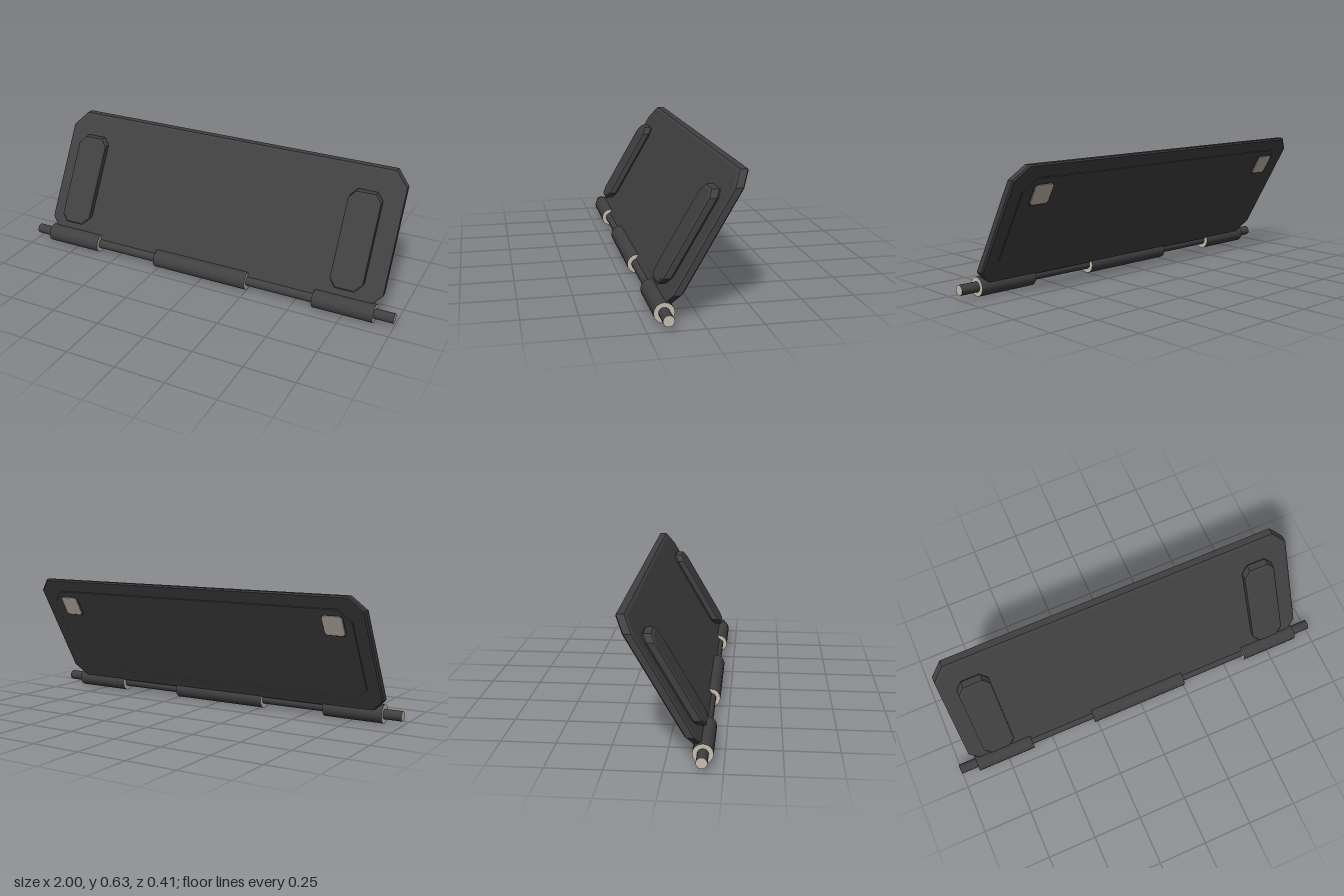
import * as THREE from 'three';

const AXIS_Y = 0.046, AXIS_Z = 0.16, SLOPE = Math.tan(Math.PI / 6);

// Chamfered rectangle, counter-clockwise seen from the front
function outline(cx, hw, y0, y1, c, inset) {
  const l = cx - hw + inset, r = cx + hw - inset, b = y0 + inset, t = y1 - inset;
  const k = Math.max(c - inset * 0.59, 0.002);
  return [[l + k, b], [r - k, b], [r, b + k], [r, t - k], [r - k, t], [l + k, t], [l, t - k], [l, b + k]];
}

// Leaning plate: layers are [depth, inset] from front to back, ends cut level
function plateGeometry(cx, hw, y0, y1, c, layers) {
  const pos = [], idx = [], n = 8;
  for (const [d, inset] of layers) {
    for (const [x, y] of outline(cx, hw, y0, y1, c, inset)) {
      pos.push(x, y, AXIS_Z - (y - AXIS_Y) * SLOPE + d);
    }
  }
  const last = (layers.length - 1) * n;
  for (let i = 1; i < n - 1; i++) {
    idx.push(0, i, i + 1);
    idx.push(last, last + i + 1, last + i);
  }
  for (let k = 0; k < layers.length - 1; k++) {
    for (let i = 0; i < n; i++) {
      const j = (i + 1) % n, a = k * n, b = a + n;
      idx.push(a + i, b + i, b + j, a + i, b + j, a + j);
    }
  }
  const g = new THREE.BufferGeometry();
  g.setAttribute('position', new THREE.Float32BufferAttribute(pos, 3));
  g.setIndex(idx);
  const flat = g.toNonIndexed();
  flat.computeVertexNormals();
  return flat;
}

export function createModel() {
  const group = new THREE.Group();
  const dark = new THREE.MeshStandardMaterial({ color: 0x404040 });
  dark.name = 'charcoal';
  const beige = new THREE.MeshStandardMaterial({ color: 0xc8bfb0 });
  beige.name = 'beige';

  const add = (name, geometry, material) => {
    const m = new THREE.Mesh(geometry, material);
    m.name = name;
    group.add(m);
    return m;
  };

  // Main leaning panel with chamfered corners and bevelled rims
  add('panel', plateGeometry(-0.002, 0.928, 0.06, 0.635, 0.065,
    [[0.017, 0.01], [0.011, 0], [-0.022, 0], [-0.029, 0.008]]), dark);
  add('backInset', plateGeometry(-0.002, 0.86, 0.115, 0.572, 0.06,
    [[-0.028, 0], [-0.032, 0.004]]), dark);

  // Raised grips on the front, latch pads on the back
  for (const [side, x] of [['left', 0.75], ['right', -0.767]]) {
    add(side + 'Grip', plateGeometry(x, 0.081, 0.135, 0.54, 0.032,
      [[0.066, 0.008], [0.06, 0], [0.027, 0], [0.016, 0.008]]), dark);
    add(side + 'PadBase', plateGeometry(x, 0.053, 0.44, 0.54, 0.012,
      [[-0.028, 0], [-0.038, 0]]), dark);
    add(side + 'PadFace', plateGeometry(x, 0.051, 0.442, 0.538, 0.011,
      [[-0.037, 0], [-0.041, 0.002]]), beige);
  }

  // Hinge rod and its sleeves, with pale cut ends
  const bar = (name, x0, x1, r) => {
    const g = new THREE.CylinderGeometry(r, r, x1 - x0, 16);
    g.rotateZ(-Math.PI / 2);
    add(name, g, [dark, beige, beige]).position.set((x0 + x1) / 2, AXIS_Y, AXIS_Z);
  };
  bar('hingeRod', -1, 1, 0.025);
  bar('rightSleeve', -0.91, -0.607, 0.046);
  bar('middleSleeve', -0.265, 0.25, 0.046);
  bar('leftSleeve', 0.602, 0.906, 0.046);

  return group;
}
